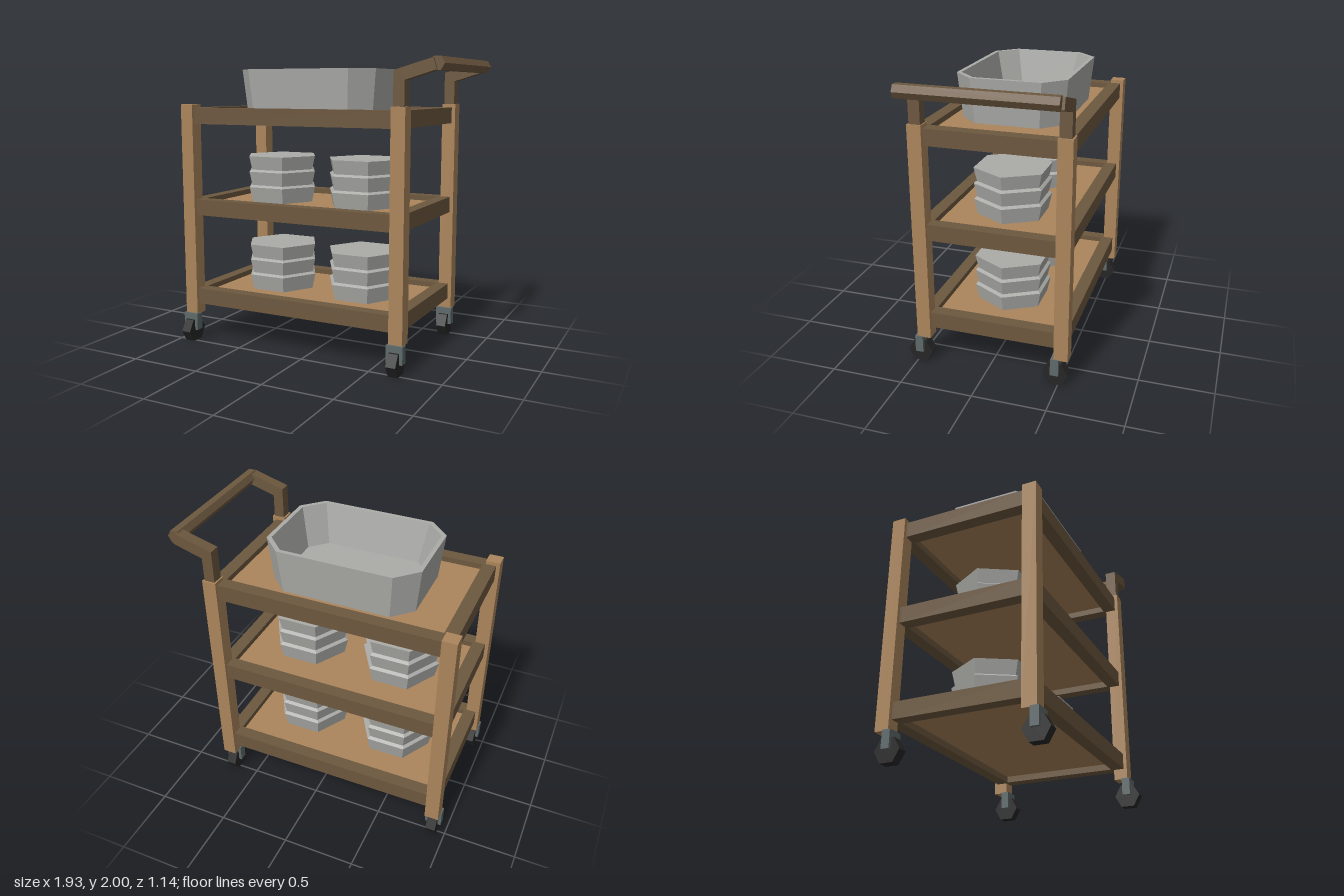
import * as THREE from 'three';

const mat = (name, color) => {
  const m = new THREE.MeshStandardMaterial({ color, flatShading: true });
  m.name = name;
  return m;
};

export function createModel() {
  const cart = new THREE.Group();
  cart.name = 'servingCart';
  const tan = mat('lightWood', 0xab855b);
  const brown = mat('darkWood', 0x6d583f);
  const grey = mat('paleGrey', 0xabaca8);
  const steel = mat('casterGrey', 0x5f6a6b);
  const rubber = mat('wheelBlack', 0x262626);

  const MID_X = -0.115, MID_Z = -0.038;

  function add(name, geometry, material, x = 0, y = 0, z = 0, parent = cart) {
    const mesh = new THREE.Mesh(geometry, material);
    mesh.name = name;
    mesh.position.set(x, y, z);
    parent.add(mesh);
    return mesh;
  }
  const box = (name, w, h, d, material, x, y, z, parent) =>
    add(name, new THREE.BoxGeometry(w, h, d), material, x, y, z, parent);

  // Joins rings of [x, y, z] points and caps the first and last ring
  function loft(rings) {
    const pos = [];
    const tri = (a, b, c) => pos.push(...a, ...b, ...c);
    const n = rings[0].length;
    for (let k = 0; k + 1 < rings.length; k++) {
      const a = rings[k], b = rings[k + 1];
      for (let i = 0; i < n; i++) {
        const j = (i + 1) % n;
        tri(a[i], a[j], b[j]);
        tri(a[i], b[j], b[i]);
      }
    }
    const first = rings[0], last = rings[rings.length - 1];
    for (let i = 1; i + 1 < n; i++) {
      tri(first[0], first[i + 1], first[i]);
      tri(last[0], last[i], last[i + 1]);
    }
    const g = new THREE.BufferGeometry();
    g.setAttribute('position', new THREE.Float32BufferAttribute(pos, 3));
    g.computeVertexNormals();
    return g;
  }

  // Rectangle with cut corners, counter-clockwise from above
  const cutRect = (hx, hz, c, y) => [
    [hx, y, hz - c], [hx, y, c - hz], [hx - c, y, -hz], [c - hx, y, -hz],
    [-hx, y, c - hz], [-hx, y, hz - c], [c - hx, y, hz], [hx - c, y, hz],
  ];
  // Hexagon with corners on the x axis
  const hexagon = (r, y) => Array.from({ length: 6 }, (_, i) => {
    const t = i * Math.PI / 3;
    return [r * Math.cos(t), y, -r * Math.sin(t)];
  });

  // Shelves: recessed panel inside four rails
  const W = 1.633, D = 1.01, RAIL = 0.088, H = 0.112;
  const shelfTops = [0.382, 1.03, 1.676];
  for (const top of shelfTops) {
    const shelf = new THREE.Group();
    shelf.name = 'shelf';
    shelf.position.set(MID_X, top, MID_Z);
    cart.add(shelf);
    box('shelfPanel', W - RAIL, 0.03, D - RAIL, tan, 0, -0.052, 0, shelf);
    for (const s of [-1, 1]) {
      box('longRail', W, H, RAIL, brown, 0, -H / 2, s * (D - RAIL) / 2, shelf);
      box('endRail', RAIL, H, D - 2 * RAIL, brown, s * (W - RAIL) / 2, -H / 2, 0, shelf);
    }
  }

  // Corner posts with casters below
  for (const sx of [-1, 1]) {
    for (const sz of [-1, 1]) {
      const x = MID_X + sx * 0.794;
      box('post', 0.096, 1.505, 0.096, tan, x, 0.9475, MID_Z + sz * 0.481);

      const caster = new THREE.Group();
      caster.name = 'caster';
      caster.position.set(x, 0, sz * 0.479);
      cart.add(caster);
      box('forkTop', 0.114, 0.045, 0.056, steel, 0, 0.1775, 0, caster);
      for (const s of [-1, 1]) {
        box('forkArm', 0.022, 0.075, 0.056, steel, s * 0.046, 0.1175, 0, caster);
      }
      const wheel = add('wheel', new THREE.CylinderGeometry(0.089, 0.089, 0.068, 6),
        rubber, 0, 0.077, 0, caster);
      wheel.rotation.z = Math.PI / 2;
    }
  }

  // Push handle: two bent arms and a six-sided grip
  const bend = new THREE.Shape([
    [0.642, 1.68], [0.715, 1.68], [0.715, 1.86], [0.915, 1.921], [0.894, 1.993], [0.642, 1.92],
  ].map(([x, y]) => new THREE.Vector2(x, y)));
  const armGeo = new THREE.ExtrudeGeometry(bend, { depth: 0.077, bevelEnabled: false });
  for (const s of [-1, 1]) {
    add('handleArm', armGeo, brown, 0, 0, MID_Z + s * 0.479 - 0.0385);
  }
  const gripGeo = new THREE.CylinderGeometry(0.048, 0.048, 1.0, 6);
  gripGeo.rotateY(Math.PI / 2);
  gripGeo.rotateX(Math.PI / 2);
  // Corners of the grip lie on the x axis
  gripGeo.rotateZ(0);
  add('handleGrip', gripGeo, brown, 0.912, 1.958, MID_Z);

  // Large open basin on the top shelf
  add('basin', loft([
    cutRect(0.487, 0.343, 0.125, 1.637),
    cutRect(0.517, 0.373, 0.136, 1.94),
    cutRect(0.489, 0.345, 0.122, 1.94),
    cutRect(0.433, 0.286, 0.108, 1.67),
  ]), grey, MID_X, 0, -0.041);

  // Stacks of three tapered bowls on the lower shelves
  const stackGeo = loft([
    hexagon(0.248, -0.038), hexagon(0.2725, 0.073),
    hexagon(0.25, 0.088), hexagon(0.2725, 0.185),
    hexagon(0.25, 0.2), hexagon(0.2725, 0.297),
  ]);
  for (const top of shelfTops.slice(0, 2)) {
    for (const x of [-0.45, 0.217]) {
      add('bowlStack', stackGeo, grey, x, top, -0.037);
    }
  }

  return cart;
}
